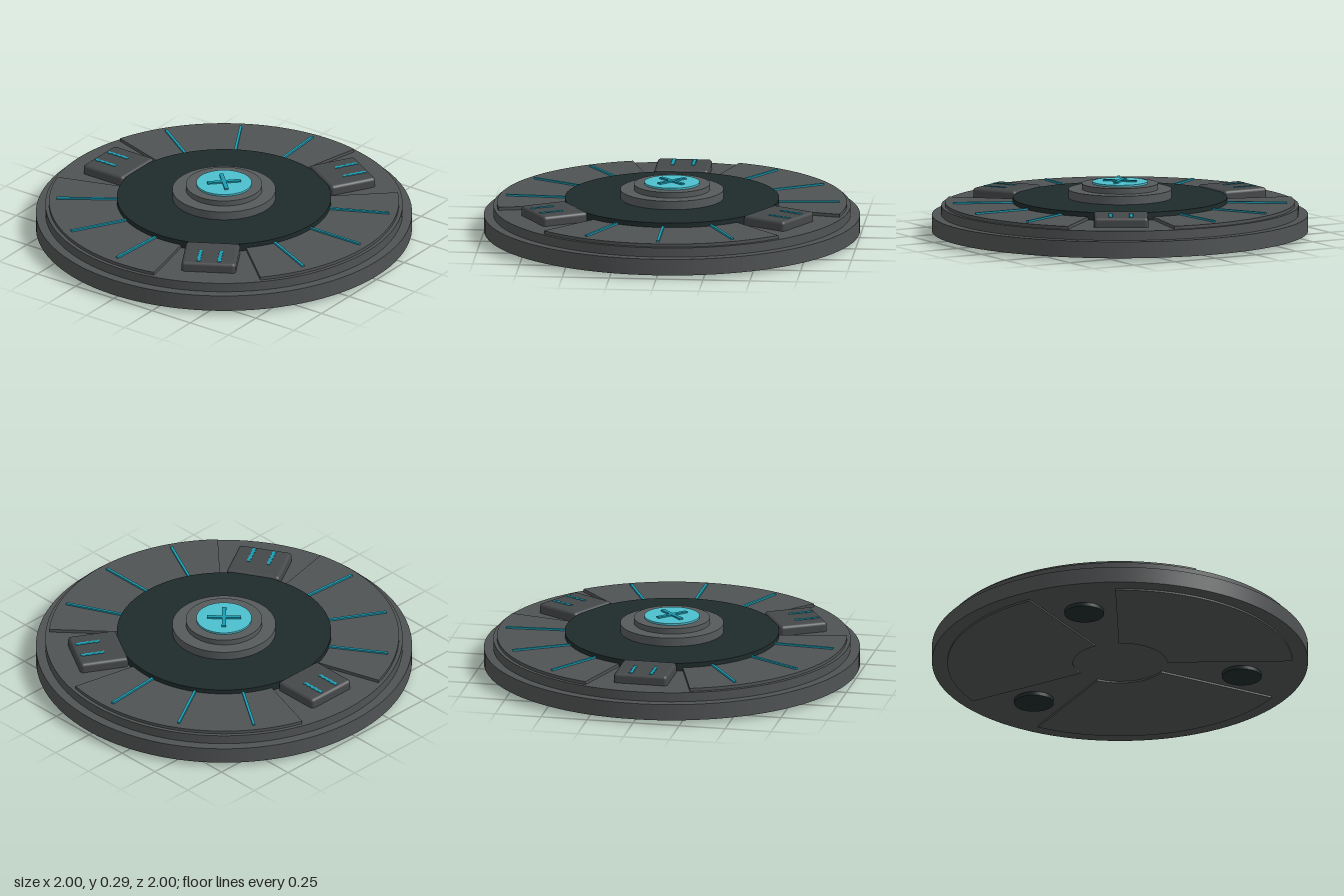
import * as THREE from 'three';
import { RoundedBoxGeometry } from 'three/addons/geometries/RoundedBoxGeometry.js';

const mat = (name, color) => {
  const m = new THREE.MeshStandardMaterial({ color });
  m.name = name;
  return m;
};
const rad = THREE.MathUtils.degToRad;

export function createModel() {
  const grey = mat('grey', 0x505354);
  const hubGrey = mat('hub grey', 0x565a5b);
  const blockGrey = mat('block grey', 0x454849);
  const dark = mat('dark teal', 0x1f2b2b);
  const cyan = mat('cyan', 0x1a9db3);
  const bright = mat('bright cyan', 0x4cc0cf);

  const model = new THREE.Group();
  const add = (parent, name, geometry, material) => {
    const mesh = new THREE.Mesh(geometry, material);
    mesh.name = name;
    parent.add(mesh);
    return mesh;
  };

  // Flat round tier between two heights
  const disc = (parent, name, r, y0, y1, material) => {
    const mesh = add(parent, name, new THREE.CylinderGeometry(r, r, y1 - y0, 96), material);
    mesh.position.y = (y0 + y1) / 2;
    return mesh;
  };

  // Ring wedge centred on +x
  const wedge = (r0, r1, span, y0, y1) => {
    const h = rad(span / 2);
    const s = new THREE.Shape();
    s.absarc(0, 0, r1, -h, h, false);
    s.absarc(0, 0, r0, h, -h, true);
    const g = new THREE.ExtrudeGeometry(s, { depth: y1 - y0, bevelEnabled: false, curveSegments: 32 });
    return g.rotateX(-Math.PI / 2).translate(0, y0, 0);
  };

  // Wavy ribbon lying along x
  const ribbon = (length, width, height) => {
    const s = new THREE.Shape();
    const n = 8;
    const wave = (i) => (i % 2 ? 0.003 : -0.003);
    for (let i = 0; i <= n; i++) {
      const x = (i / n - 0.5) * length;
      if (i === 0) s.moveTo(x, wave(i) - width / 2);
      else s.lineTo(x, wave(i) - width / 2);
    }
    for (let i = n; i >= 0; i--) s.lineTo((i / n - 0.5) * length, wave(i) + width / 2);
    return new THREE.ExtrudeGeometry(s, { depth: height, bevelEnabled: false }).rotateX(-Math.PI / 2);
  };

  // Stacked body
  disc(model, 'base', 1, 0.02, 0.108, grey);
  disc(model, 'upperTier', 0.95, 0.1, 0.158, grey);
  disc(model, 'darkDisc', 0.57, 0.15, 0.2, dark);
  disc(model, 'hubLower', 0.275, 0.19, 0.246, hubGrey);
  disc(model, 'hubUpper', 0.203, 0.24, 0.276, hubGrey);
  disc(model, 'button', 0.147, 0.27, 0.286, bright);

  // Cross on the button
  for (const a of [45, -45]) {
    const bar = add(model, 'crossBar', new THREE.BoxGeometry(0.18, 0.012, 0.022), cyan);
    bar.position.y = 0.288;
    bar.rotation.y = rad(a);
  }

  for (let i = 0; i < 3; i++) {
    // Top plate with its three lines, and the foot pad below
    const sector = new THREE.Group();
    sector.name = 'sector';
    sector.rotation.y = rad(30 + i * 120);
    model.add(sector);
    add(sector, 'topPlate', wedge(0.5, 0.93, 84.5, 0.15, 0.175), grey);
    for (const a of [-26, 0, 26]) {
      const line = add(sector, 'lightLine',
        new THREE.BoxGeometry(0.34, 0.012, 0.014).translate(0.72, 0.178, 0), cyan);
      line.rotation.y = rad(a);
    }
    disc(sector, 'footPad', 0.105, 0, 0.025, dark).position.x = 0.665;

    // Raised block with two ribbons, and the bottom plate
    const station = new THREE.Group();
    station.name = 'station';
    station.rotation.y = rad(90 + i * 120);
    model.add(station);
    const block = add(station, 'block', new RoundedBoxGeometry(0.262, 0.07, 0.29, 3, 0.018), blockGrey);
    block.position.set(0.691, 0.175, 0);
    for (const z of [-0.055, 0.055]) {
      add(station, 'blockRibbon', ribbon(0.13, 0.018, 0.006), cyan).position.set(0.735, 0.207, z);
    }
    add(station, 'bottomPlate', wedge(0.25, 0.917, 90, 0.01, 0.025), grey);
  }

  return model;
}
